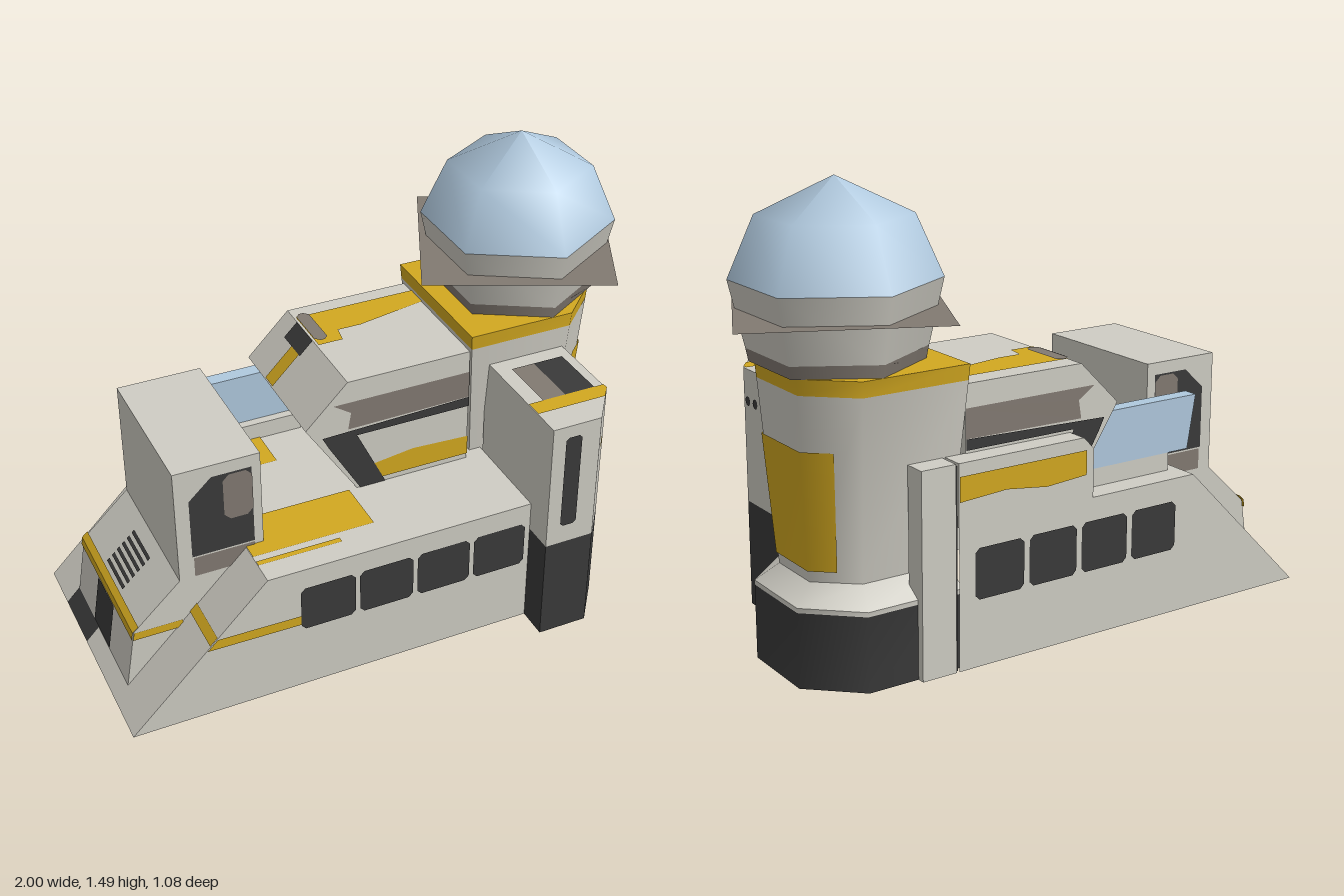
import * as THREE from 'three';
import { toCreasedNormals } from 'three/addons/utils/BufferGeometryUtils.js';

export function createModel() {
  const root = new THREE.Group();
  const paint = (name, color) => {
    const m = new THREE.MeshStandardMaterial({ color, side: THREE.DoubleSide });
    m.name = name;
    return m;
  };
  const light = paint('pale grey', 0xcfcdc4), dark = paint('charcoal', 0x3a3a3a);
  const yellow = paint('yellow', 0xd2a820), taupe = paint('taupe', 0x827a72), blue = paint('glass blue', 0xb0c9de);

  const add = (name, geo, mat) => {
    const mesh = new THREE.Mesh(geo, mat);
    mesh.name = name;
    root.add(mesh);
    return mesh;
  };
  const fromTriangles = (pts) => {
    const g = new THREE.BufferGeometry();
    g.setAttribute('position', new THREE.Float32BufferAttribute(pts.flat(), 3));
    g.computeVertexNormals();
    return g;
  };
  const shapeOf = (pts) => new THREE.Shape(pts.map(([u, v]) => new THREE.Vector2(u, v)));

  // Flat polygon in the x-y plane at depth z, facing dir (+1 or -1)
  const panel = (name, pts, z, mat, dir = 1) => {
    const list = dir > 0 ? pts : pts.map(([x, y]) => [-x, y]);
    const m = add(name, new THREE.ShapeGeometry(shapeOf(list)), mat);
    m.position.z = z;
    if (dir < 0) m.rotation.y = Math.PI;
    return m;
  };
  // Flat polygon given in x-z, facing up at height y
  const topPanel = (name, pts, y, mat) => {
    const m = add(name, new THREE.ShapeGeometry(shapeOf(pts.map(([x, z]) => [x, -z]))), mat);
    m.rotation.x = -Math.PI / 2;
    m.position.y = y;
    return m;
  };
  const rect = (a, b, c, d) => [[a, c], [b, c], [b, d], [a, d]];
  // Side profile swept from z0 to z1
  const solid = (name, pts, z0, z1, mat) => {
    const g = new THREE.ExtrudeGeometry(shapeOf(pts), { depth: z1 - z0, bevelEnabled: false });
    return add(name, g.translate(0, 0, z0), mat);
  };
  // Open sheet following an x-y profile that runs left to right
  const sheet = (name, pts, z0, z1, mat) => {
    const t = [];
    for (let i = 0; i + 1 < pts.length; i++) {
      const [a, b] = [pts[i], pts[i + 1]];
      t.push([...a, z1], [...b, z1], [...b, z0], [...a, z1], [...b, z0], [...a, z0]);
    }
    return add(name, fromTriangles(t), mat);
  };
  // Walls between two x-z outlines, with an optional lid
  const loft = (name, lo, y0, hi, y1, mat, lid = true, closed = true) => {
    const t = [], n = lo.length, P = ([x, z], y) => [x, y, z];
    for (let i = 0; i < (closed ? n : n - 1); i++) {
      const j = (i + 1) % n;
      t.push(P(lo[i], y0), P(lo[j], y0), P(hi[j], y1), P(lo[i], y0), P(hi[j], y1), P(hi[i], y1));
    }
    if (lid) for (let i = 1; i + 1 < n; i++) t.push(P(hi[0], y1), P(hi[i], y1), P(hi[i + 1], y1));
    return add(name, toCreasedNormals(fromTriangles(t), 0.9), mat);
  };
  const roundRect = (x0, x1, y0, y1, r) => [
    [x0 + r, y0], [x1 - r, y0], [x1, y0 + r], [x1, y1 - r], [x1 - r, y1], [x0 + r, y1], [x0, y1 - r], [x0, y0 + r]];

  // Hull: thin side walls, deck and front slopes
  panel('frontSideWall', [[-1, 0], [0.37, 0], [0.37, 0.46], [-0.54, 0.46]], 0.43, light);
  panel('backSideWall', [[-1, 0], [0.37, 0], [0.37, 0.46], [-0.54, 0.46]], -0.44, light, -1);
  sheet('deck', [[-0.54, 0.46], [0.37, 0.46]], -0.44, 0.43, light);
  sheet('slopeFront', [[-1, 0], [-0.54, 0.46]], 0.25, 0.43, light);
  sheet('slopeBack', [[-1, 0], [-0.54, 0.46]], -0.44, -0.27, light);
  solid('raisedBackWall', [[-0.13, 0.46], [0.37, 0.46], [0.37, 0.66], [-0.09, 0.66], [-0.13, 0.62]], -0.44, -0.365, light);
  solid('backPost', rect(0.38, 0.5, 0, 0.66), -0.44, -0.365, light);
  solid('postGap', rect(0.37, 0.38, 0, 0.65), -0.43, -0.37, dark);

  // Side windows, painted so they also show inside the shell
  for (let i = 0; i < 4; i++) {
    const x = -0.435 + i * 0.2;
    for (const o of [0.004, -0.004]) {
      panel('sideWindowFront', roundRect(x, x + 0.185, 0.23, 0.39, 0.015), 0.43 + o, dark);
      panel('sideWindowBack', roundRect(x - 0.03, x + 0.15, 0.22, 0.385, 0.015), -0.44 + o, dark, -1);
    }
  }
  for (const o of [0.004, -0.004])
    panel('sideStripe', [[-0.745, 0.255], [-0.435, 0.25], [-0.435, 0.285], [-0.71, 0.29]], 0.43 + o, yellow);
  panel('backWallStripe', [[-0.1, 0.54], [0.05, 0.53], [0.2, 0.55], [0.37, 0.54], [0.37, 0.62], [-0.1, 0.62]], -0.444, yellow, -1);
  sheet('slopeStripe', [[-0.735, 0.27], [-0.71, 0.295]], 0.25, 0.43, yellow);
  topPanel('deckPatch', [[-0.48, 0.12], [-0.13, 0.12], [-0.13, 0.31], [-0.54, 0.31], [-0.54, 0.25], [-0.48, 0.22]], 0.464, yellow);
  topPanel('deckStrip', rect(-0.54, -0.26, 0.335, 0.355), 0.464, yellow);
  topPanel('deckBackPatch', rect(-0.39, -0.28, -0.31, -0.13), 0.464, yellow);

  // Nose between the slopes, with stripe, grille and hatch
  const nose = [[-0.955, 0.045], [-0.92, 0.25], [-0.76, 0.4], [-0.6, 0.4]];
  sheet('nose', nose, -0.27, 0.25, light);
  panel('noseSideFront', nose, 0.25, light);
  panel('noseSideBack', nose, -0.27, light, -1);
  sheet('noseLip', [[-1, 0], [-0.955, 0.045]], -0.27, 0.25, light);
  sheet('noseLipDark', [[-1, 0.004], [-0.955, 0.05]], -0.27, -0.05, dark);
  sheet('noseStripe', [[-0.929, 0.225], [-0.925, 0.253], [-0.905, 0.27]], -0.274, 0.254, yellow);
  panel('noseStripeSide', [[-0.925, 0.222], [-0.76, 0.222], [-0.76, 0.25], [-0.92, 0.25]], 0.254, yellow);
  sheet('noseHatch', [[-0.957, 0.055], [-0.929, 0.222]], -0.09, 0.07, dark);
  for (let i = 0; i < 6; i++) {
    const x = -0.895 + i * 0.018, y = 0.25 + (x + 0.92) * 0.9375 + 0.005;
    sheet('grilleBar', [[x, y], [x + 0.009, y + 0.0084]], -0.09, 0.07, dark);
  }

  // Lookout box
  solid('lookoutBox', [[-0.76, 0.4], [-0.48, 0.4], [-0.48, 0.8], [-0.76, 0.8]], -0.27, 0.25, light);
  for (const [z, d] of [[0.25, 1], [-0.27, -1]]) {
    panel('lookoutWindow', [[-0.715, 0.48], [-0.51, 0.48], [-0.51, 0.76], [-0.64, 0.76], [-0.715, 0.69]], z + d * 0.003, dark, d);
    panel('lookoutShade', roundRect(-0.605, -0.51, 0.59, 0.755, 0.02), z + d * 0.006, taupe, d);
    panel('lookoutSill', rect(-0.71, -0.51, 0.405, 0.475), z + d * 0.003, taupe, d);
  }

  // Glass screen on its sill
  solid('glassScreen', [[-0.58, 0.52], [-0.16, 0.52], [-0.24, 0.7], [-0.61, 0.7]], -0.36, -0.31, blue);
  solid('glassSill', rect(-0.5, -0.13, 0.46, 0.52), -0.36, -0.28, light);

  // Cabin with painted frame and windows on both sides
  solid('cabin', [[-0.1, 0.46], [0.3, 0.46], [0.3, 0.875], [-0.13, 0.875], [-0.275, 0.73]], -0.37, 0.115, light);
  for (const [z, d] of [[0.118, 1], [-0.373, -1]]) {
    panel('cabinWindow', [[-0.1, 0.7], [0.3, 0.705], [0.3, 0.8], [-0.18, 0.8], [-0.12, 0.76], [-0.13, 0.7]], z, taupe, d);
    panel('cabinFrame', [[-0.09, 0.462], [0, 0.462], [-0.1, 0.67], [0.3, 0.67], [0.3, 0.705], [-0.22, 0.69], [-0.2, 0.65]],
      z + d * 0.002, dark, d);
  }
  panel('cabinStripe', [[-0.03, 0.48], [0.3, 0.48], [0.3, 0.55], [0.1, 0.56], [-0.05, 0.54]], 0.119, yellow);
  topPanel('roofStripe', [[0.3, -0.31], [0.3, -0.23], [0.05, -0.18], [-0.03, -0.18], [-0.04, -0.12], [-0.125, -0.12],
    [-0.125, -0.31]], 0.879, yellow);
  sheet('windscreenStripe', [[-0.274, 0.738], [-0.134, 0.878]], -0.22, -0.16, yellow);
  topPanel('roofHatch', roundRect(-0.125, -0.08, -0.32, -0.14, 0.015), 0.883, taupe);
  sheet('hatchEdge', [[-0.18, 0.834], [-0.134, 0.88]], -0.28, -0.15, dark);

  // Front pillar
  const pillar = [[0.37, 0.535], [0.54, 0.535], [0.64, 0.4], [0.64, 0.1], [0.37, 0.1]];
  loft('pillarBase', pillar, 0, pillar, 0.36, dark, false);
  loft('pillar', pillar, 0.36, pillar, 0.81, light);
  panel('pillarSlot', roundRect(0.415, 0.472, 0.43, 0.77, 0.01), 0.539, dark);
  topPanel('pillarTopStripe', [[0.37, 0.38], [0.64, 0.38], [0.64, 0.4], [0.61, 0.44], [0.37, 0.44]], 0.814, yellow);
  topPanel('pillarTopHatch', rect(0.42, 0.5, 0.18, 0.38), 0.814, taupe);
  topPanel('pillarTopVent', rect(0.5, 0.605, 0.18, 0.38), 0.814, dark);
  const spot = (name, x, y, z, r, mat) => {
    const m = add(name, new THREE.CircleGeometry(r, 12), mat);
    m.position.set(x, y, z);
    return m;
  };
  for (const z of [0.32, 0.37]) spot('pillarPort', 0.643, 0.705, z, 0.016, dark).rotation.y = Math.PI / 2;
  spot('pillarLamp', 0.555, 0.705, 0.52, 0.02, yellow).rotation.y = 0.915;

  // Tower: base, shoulder, tapered body and yellow bands
  const low = [[0.34, 0.065], [0.64, 0.065], [0.76, -0.04], [0.76, -0.23], [0.64, -0.335], [0.34, -0.335]];
  const high = [[0.295, 0.135], [0.66, 0.135], [0.8, 0], [0.8, -0.26], [0.66, -0.39], [0.295, -0.39]];
  const foot = [[0.34, 0.14], [0.67, 0.14], [0.825, 0], [0.825, -0.27], [0.67, -0.415], [0.34, -0.415]];
  const mix = (a, b, t) => a.map((v, k) => v + (b[k] - v) * t);
  const ring = (y) => low.map((p, i) => mix(p, high[i], (y - 0.31) / 0.63));
  loft('towerBase', foot, 0, foot, 0.24, dark, false);
  loft('towerBaseRim', foot, 0.24, foot, 0.255, light, false);
  loft('towerShoulder', foot, 0.255, low, 0.31, light, false);
  loft('towerBody', low, 0.31, ring(0.89), 0.89, light, false);
  loft('towerBand', ring(0.89), 0.89, high, 0.94, yellow, false);
  topPanel('towerTop', high, 0.94, yellow);
  const patch = (y) => {
    const r = ring(y).map(([x, z]) => [x + 0.005, -0.13 + (z + 0.13) * 1.008]);
    return [mix(r[1], r[2], 0.55), r[2], r[3], mix(r[4], r[3], 0.45)];
  };
  loft('towerPatch', patch(0.345), 0.345, patch(0.72), 0.72, yellow, false, false);
  for (const [z, d] of [[0.104, 1], [-0.367, -1]]) {
    const m = spot('towerPort', 0.45, 0.6, z, 0.045, dark);
    m.rotation.set(d * 0.1, d > 0 ? 0 : Math.PI, 0);
  }

  // Six-sided collar, square deflector plate and glass dome
  const lathe = (name, pts, mat) => {
    const g = new THREE.LatheGeometry(pts.map(([r, y]) => new THREE.Vector2(r, y)), 6);
    add(name, g, mat).position.set(0.59, 0, -0.127);
  };
  lathe('collarBand', [[0.262, 0.94], [0.27, 0.98]], taupe);
  lathe('collar', [[0.27, 0.98], [0.317, 1.185]], light);
  lathe('dome', [[0.317, 1.185], [0.234, 1.375], [0, 1.487]], blue);
  topPanel('deflectorPlate', [[0.17, 0.02], [0.73, 0.28], [1, -0.275], [0.43, -0.54]], 1.1, taupe);
  return root;
}
